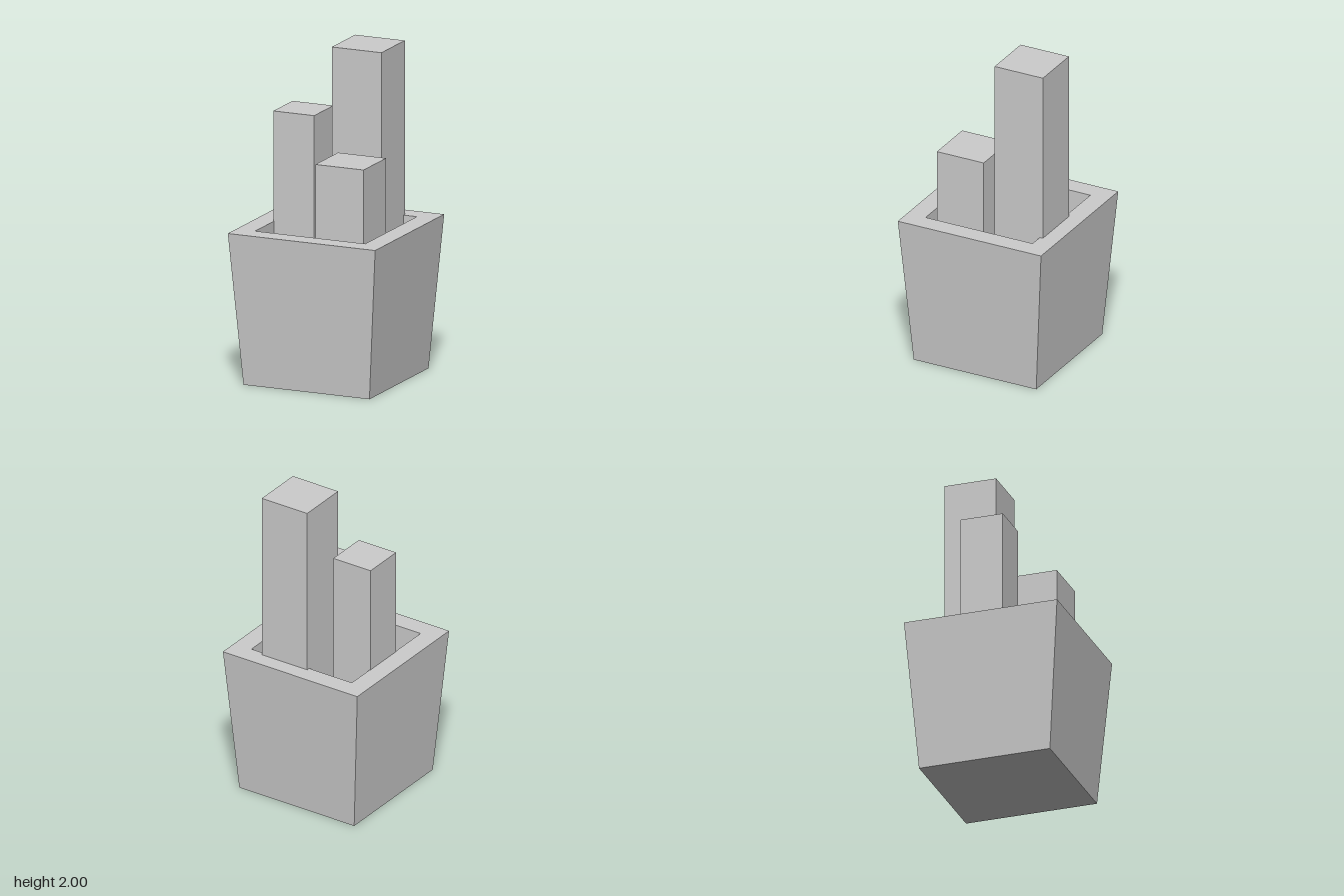
import * as THREE from 'three';

const material = new THREE.MeshStandardMaterial({ color: 0xcccccc, flatShading: true });
const POT_HEIGHT = 0.935;
const FLOOR = 0.2;

// Square tapered pot with a straight-walled hollow: a four-sided lathe
function makePot() {
  const profile = [
    [0, 0], [0.413, 0], [0.483, POT_HEIGHT], [0.361, POT_HEIGHT], [0.361, FLOOR], [0, FLOOR],
  ].map(([half, y]) => new THREE.Vector2(half * Math.SQRT2, y));
  const geometry = new THREE.LatheGeometry(profile, 4, Math.PI / 4).toNonIndexed();
  geometry.computeVertexNormals();
  const pot = new THREE.Mesh(geometry, material);
  pot.name = 'pot';
  return pot;
}

// Square column standing on the pot floor
function makeColumn(name, x, z, width, top) {
  const height = top - FLOOR;
  const column = new THREE.Mesh(new THREE.BoxGeometry(width, height, width), material);
  column.position.set(x, FLOOR + height / 2, z);
  column.name = name;
  return column;
}

export function createModel() {
  const model = new THREE.Group();
  model.name = 'pottedColumns';
  model.add(
    makePot(),
    makeColumn('tallColumn', 0.109, -0.219, 0.326, 2),
    makeColumn('mediumColumn', -0.231, -0.036, 0.268, 1.61),
    makeColumn('shortColumn', 0.166, 0.147, 0.316, 1.37),
  );
  return model;
}
